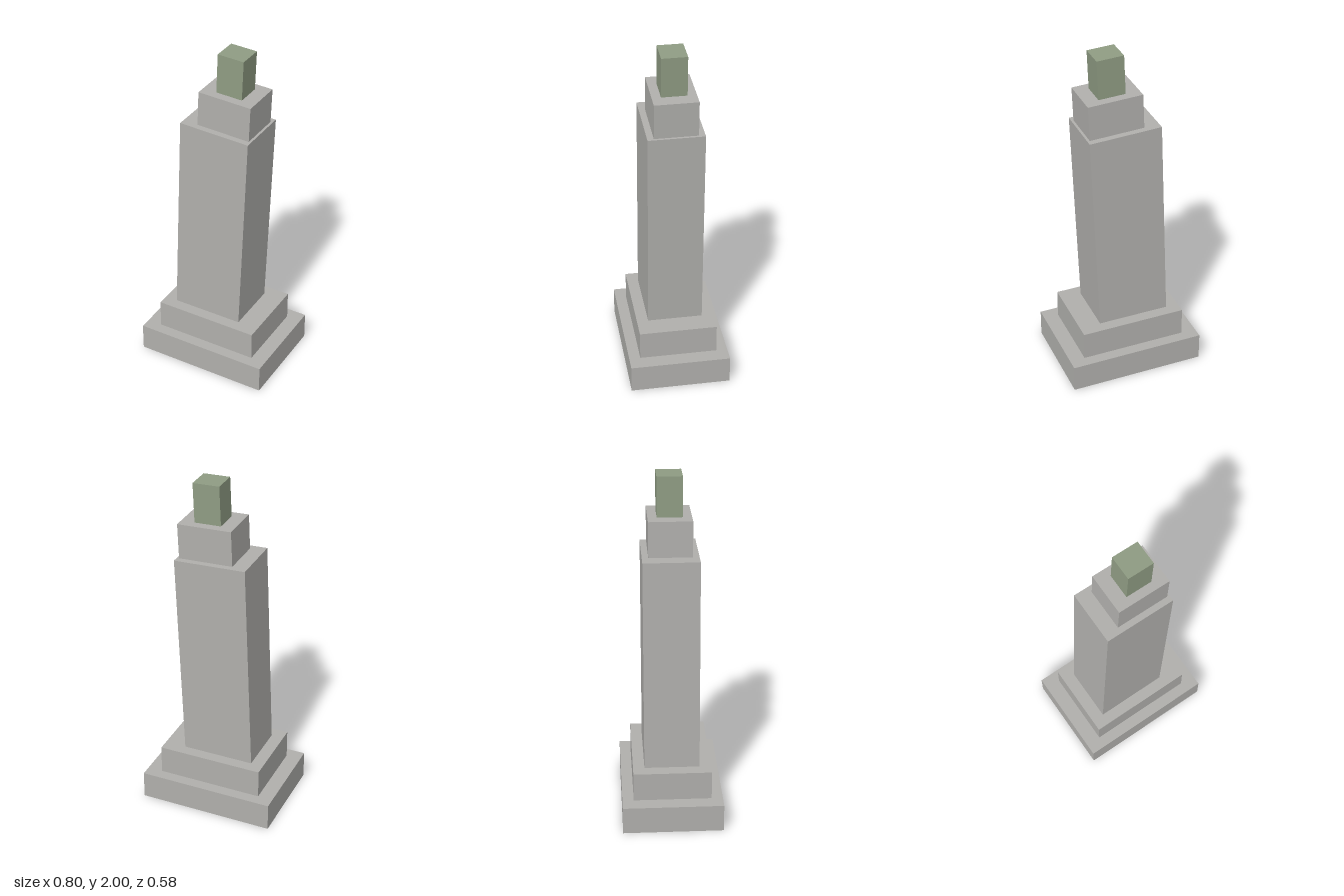
import * as THREE from 'three';

const TILT = -0.0405; // the tower leans towards +x

export function createModel() {
  const model = new THREE.Group();
  const stone = new THREE.MeshStandardMaterial({ color: 0xb0afac });
  stone.name = 'grey stone';
  const copper = new THREE.MeshStandardMaterial({ color: 0x8f9c83 });
  copper.name = 'grey green';

  // Block hung from the centre of its top face, so that it leans about that point
  function block(name, w, h, d, x, top, material, tilt = 0) {
    const geometry = new THREE.BoxGeometry(w, h, d).translate(0, -h / 2, 0);
    const mesh = new THREE.Mesh(geometry, material);
    mesh.name = name;
    mesh.position.set(x, top, 0);
    mesh.rotation.z = tilt;
    model.add(mesh);
  }

  // Level stepped base
  block('lowerPlinth', 0.8, 0.163, 0.58, 0, 0.163, stone);
  block('upperPlinth', 0.622, 0.17, 0.45, 0, 0.333, stone);

  // Leaning tower
  block('shaft', 0.422, 1.24, 0.318, 0.024, 1.5635, stone, TILT);
  block('upperTier', 0.319, 0.206, 0.246, 0.0695, 1.7665, stone, TILT);
  block('cap', 0.157, 0.235, 0.144, 0.079, 1.997, copper, TILT);

  return model;
}
